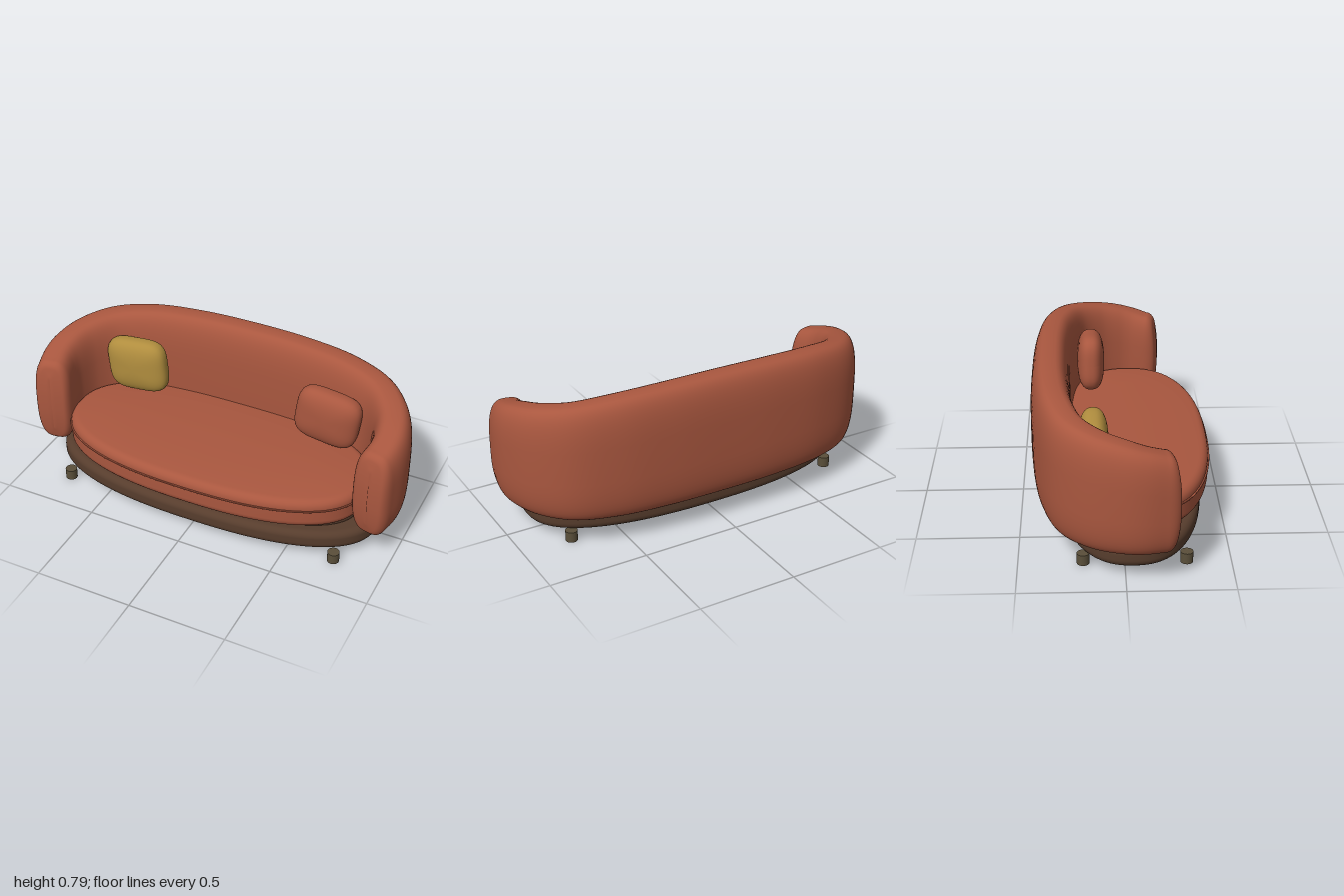
import * as THREE from 'three';

const mat = (color) => new THREE.MeshStandardMaterial({ color, roughness: 0.85 });
const rust = mat(0xa9573f), mustard = mat(0xb08d3e), walnut = mat(0x573d2d), legBrown = mat(0x5a4f3a);

// Superellipse point: |x/a|^n + |y/b|^n = 1
const pow = (c, n) => Math.sign(c) * Math.abs(c) ** (2 / n);
const superPoint = (t, a, b, n) => [a * pow(Math.cos(t), n), b * pow(Math.sin(t), n)];

// Closed skin through rings of equal length, with both ends capped
function loft(rings) {
  const n = rings[0].length, pos = [], idx = [];
  rings.forEach((r) => r.forEach((p) => pos.push(p.x, p.y, p.z)));
  for (let i = 0; i < rings.length - 1; i++) {
    for (let j = 0; j < n; j++) {
      const a = i * n + j, b = i * n + (j + 1) % n;
      idx.push(a, b, a + n, b, b + n, a + n);
    }
  }
  [0, rings.length - 1].forEach((k, end) => {
    const c = new THREE.Vector3();
    rings[k].forEach((p) => c.addScaledVector(p, 1 / n));
    const centre = pos.length / 3;
    pos.push(c.x, c.y, c.z);
    for (let j = 0; j < n; j++) {
      const a = k * n + j, b = k * n + (j + 1) % n;
      idx.push(centre, end ? a : b, end ? b : a);
    }
  });
  const g = new THREE.BufferGeometry();
  g.setAttribute('position', new THREE.Float32BufferAttribute(pos, 3));
  g.setIndex(idx);
  g.computeVertexNormals();
  return g;
}

// Oval slab with rounded rims; crown raises the middle of the top
function slab(a, zBack, zFront, y0, y1, rBottom, rTop, crown = 0, n = 2.4) {
  const b = (zFront - zBack) / 2, zc = (zFront + zBack) / 2, profile = [];
  const flat = [0.6, 0.3, 0.12, 0.03];
  const steps = [0, 1, 2, 3, 4, 5, 6].map((k) => (k * Math.PI) / 12);
  flat.forEach((f) => profile.push([f * b + rBottom, y0]));
  steps.forEach((k) => profile.push([rBottom * (1 - Math.sin(k)), y0 + rBottom * (1 - Math.cos(k))]));
  steps.forEach((k) => profile.push([rTop * (1 - Math.cos(k)), y1 - rTop * (1 - Math.sin(k))]));
  [...flat].reverse().forEach((f) => profile.push([f * b + rTop, y1 + crown * (1 - (1 - f) ** 3)]));
  return loft(profile.map(([inset, y]) => Array.from({ length: 96 }, (_, j) => {
    const [x, z] = superPoint((j / 96) * Math.PI * 2, a - inset, b - inset, n);
    return new THREE.Vector3(x, y, zc - z);
  })));
}

// Wraparound back and arms: tall rounded section swept along a U, y = top height
function wrapGeometry() {
  const half = [[0.3, 0.785, -0.338], [0.55, 0.771, -0.308], [0.74, 0.745, -0.24], [0.85, 0.717, -0.12],
    [0.894, 0.69, 0], [0.9, 0.667, 0.08], [0.882, 0.637, 0.175]].map((p) => new THREE.Vector3(...p));
  const mirrored = half.map((p) => new THREE.Vector3(-p.x, p.y, p.z)).reverse();
  const path = new THREE.CatmullRomCurve3([...mirrored, new THREE.Vector3(0, 0.79, -0.345), ...half]);
  const bottom = 0.15, R = 0.035, N = 96, rings = [];
  const ring = (t, out, shrink, bulge) => {
    const p = path.getPoint(t), T = path.getTangent(t).setY(0).normalize();
    const outward = new THREE.Vector3(T.z, 0, -T.x);
    const h = (p.y - bottom) / 2;
    rings.push(Array.from({ length: 48 }, (_, j) => {
      const [u, v] = superPoint((j / 48) * Math.PI * 2, 0.098 - shrink, h - shrink, 3.2);
      const along = out + bulge * (1 - (v / h) ** 2);
      return new THREE.Vector3(p.x, bottom + h + v, p.z).addScaledVector(outward, u).addScaledVector(T, along);
    }));
  };
  // Rounded arm fronts at both ends
  const arc = [0, 1, 2, 3, 4, 5, 6].map((k) => (k * Math.PI) / 12);
  const cap = (t, s) => (k) => ring(t, s * R * Math.sin(k), R * (1 - Math.cos(k)), s * 0.025 * Math.sin(k));
  const inner = (t, s) => [0.06, 0.04, 0.015].map((f) => () => ring(t, s * (R + 0.006 * (f / 0.06)), R + f, s * 0.025));
  inner(0, -1).forEach((f) => f());
  [...arc].reverse().forEach(cap(0, -1));
  for (let i = 1; i < N; i++) ring(i / N, 0, 0, 0);
  arc.forEach(cap(1, 1));
  inner(1, 1).reverse().forEach((f) => f());
  return loft(rings);
}

// Soft square pillow: sphere pushed out to a superellipsoid
function pillowGeometry(w, h, d) {
  const g = new THREE.SphereGeometry(1, 48, 32), p = g.attributes.position;
  g.rotateX(Math.PI / 2);
  for (let i = 0; i < p.count; i++) {
    const x = p.getX(i), y = p.getY(i), z = p.getZ(i);
    const q = (Math.abs(x) ** 4 + Math.abs(y) ** 4) ** (1 / 4);
    const k = (q ** 2.6 + Math.abs(z) ** 2.6) ** (-1 / 2.6);
    p.setXYZ(i, x * k * w, y * k * h, z * k * d);
  }
  g.computeVertexNormals();
  return g;
}

export function createModel() {
  const sofa = new THREE.Group();
  sofa.name = 'sofa';
  const add = (name, geometry, material, x = 0, y = 0, z = 0) => {
    const m = new THREE.Mesh(geometry, material);
    m.name = name;
    m.position.set(x, y, z);
    sofa.add(m);
    return m;
  };

  // Base
  add('plinth', slab(0.88, -0.325, 0.4, 0.045, 0.148, 0.04, 0.035), walnut);
  add('upperPlinth', slab(0.78, -0.27, 0.35, 0.14, 0.195, 0.015, 0.015), walnut);
  for (const x of [-0.745, 0.745]) {
    for (const z of [0.29, -0.195]) {
      add('leg', new THREE.CylinderGeometry(0.03, 0.03, 0.054, 24), legBrown, x, 0.027, z);
    }
  }

  // Seat in two layers with piping between
  add('seatBase', slab(0.808, -0.31, 0.438, 0.19, 0.3, 0.045, 0.008), rust);
  add('seatPiping', slab(0.814, -0.315, 0.445, 0.294, 0.301, 0.003, 0.003), rust);
  add('seatCushion', slab(0.808, -0.31, 0.438, 0.297, 0.352, 0.008, 0.042, 0.015), rust);

  // Back and arms
  add('wraparoundBack', wrapGeometry(), rust);

  // Loose pillows
  const pillow = pillowGeometry(0.168, 0.148, 0.072);
  add('rightPillow', pillow, mustard, -0.557, 0.515, -0.14).rotation.z = 0.1;
  add('leftPillow', pillow, rust, 0.517, 0.515, -0.14).rotation.z = -0.13;
  return sofa;
}
